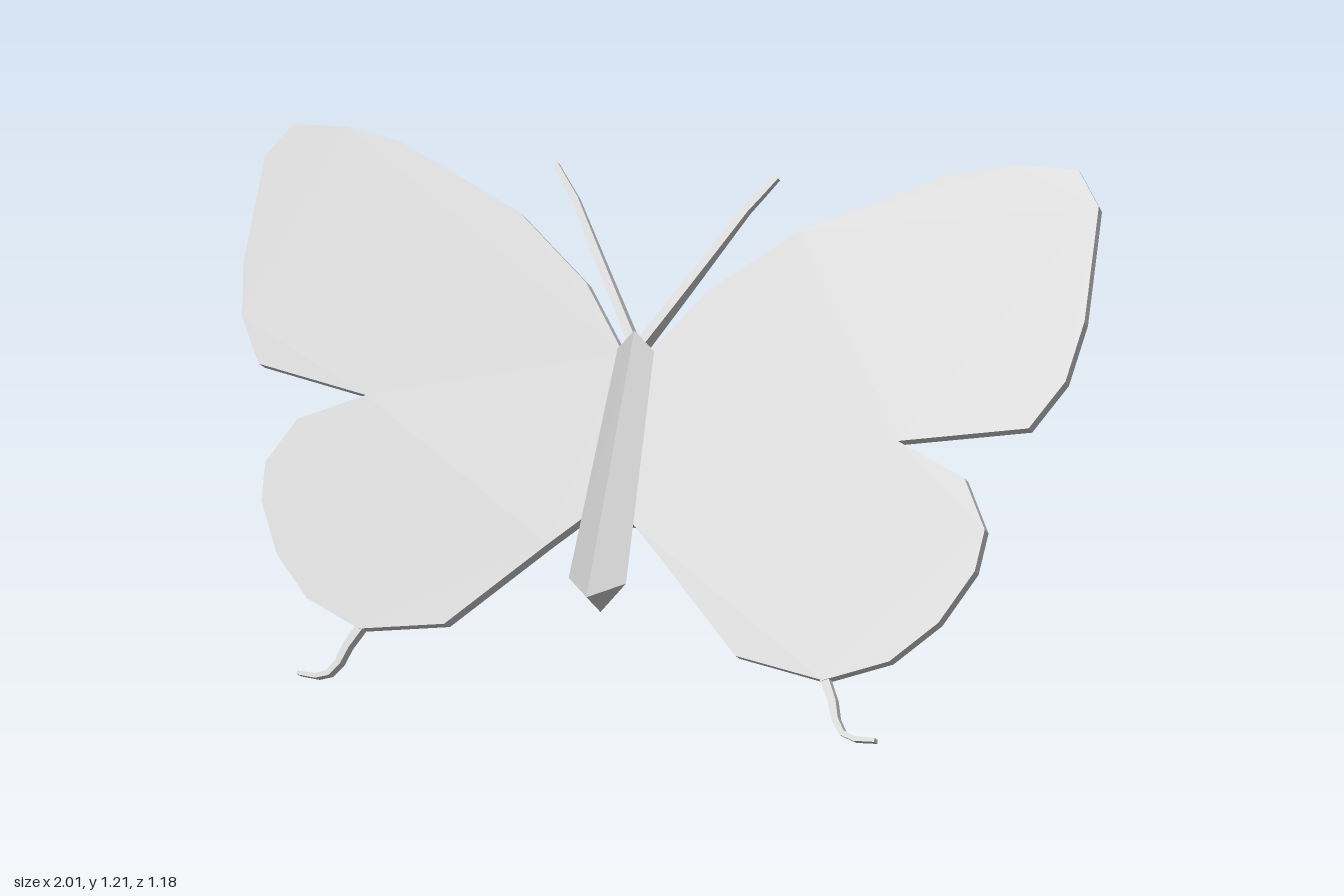
import * as THREE from 'three';

const material = new THREE.MeshStandardMaterial({ color: 0xcccccc, flatShading: true });

// Outline of one wing in the butterfly's own plane (x outward, y toward the head)
const wingOutline = [
  [0, -0.01], [0.03, -0.01], [0.15, 0.152], [0.348, 0.312], [0.685, 0.468], [0.83, 0.498],
  [0.978, 0.497], [1.036, 0.413], [1.04, 0.146], [1.016, 0.005], [0.948, -0.108],
  [0.655, -0.162], [0.82, -0.234], [0.882, -0.345], [0.873, -0.44], [0.808, -0.563],
  [0.71, -0.66], [0.565, -0.718], [0.355, -0.685], [0.135, -0.475], [0.064, -0.41], [0, -0.41],
];
const antennaPath = [[0, 0.0], [0.1, 0.165], [0.212, 0.352], [0.245, 0.395], [0.275, 0.435]];
const tailPath = [[0.56, -0.70], [0.592, -0.76], [0.605, -0.80], [0.625, -0.828], [0.655, -0.838], [0.702, -0.836]];

// Flat slab from an outline; side = 1 or -1 mirrors it, front face at z = front
function slab(name, points, side, depth, front = 0) {
  const shape = new THREE.Shape(points.map(([x, y]) => new THREE.Vector2(side * x, y)));
  const geometry = new THREE.ExtrudeGeometry(shape, { depth, bevelEnabled: false });
  geometry.translate(0, 0, front - depth);
  const mesh = new THREE.Mesh(geometry, material);
  mesh.name = name;
  return mesh;
}

// Outline of a strip that follows a path, tapering from width w0 to w1
function strip(path, w0, w1) {
  const a = [], b = [];
  path.forEach(([x, y], i) => {
    const p = path[Math.max(i - 1, 0)], q = path[Math.min(i + 1, path.length - 1)];
    const dx = q[0] - p[0], dy = q[1] - p[1];
    const k = THREE.MathUtils.lerp(w0, w1, i / (path.length - 1)) / 2 / Math.hypot(dx, dy);
    a.push([x - dy * k, y + dx * k]);
    b.unshift([x + dy * k, y - dx * k]);
  });
  return a.concat(b);
}

// Four-sided body between a head ring and a tail ring, each end folded along its ridge
function buildBody() {
  const head = [[0, 0.038, 0.03], [0.045, 0, 0], [0, 0.03, -0.054], [-0.045, 0, 0]];
  const tail = [[0, -0.597, 0.05], [0.07, -0.548, 0], [0, -0.61, -0.054], [-0.07, -0.548, 0]];
  const index = [0, 1, 2, 0, 2, 3, 4, 6, 5, 4, 7, 6];
  for (let i = 0; i < 4; i++) {
    const j = (i + 1) % 4;
    index.push(i + 4, j + 4, j, i + 4, j, i);
  }
  let geometry = new THREE.BufferGeometry();
  geometry.setAttribute('position', new THREE.Float32BufferAttribute([...head, ...tail].flat(), 3));
  geometry.setIndex(index);
  geometry = geometry.toNonIndexed();
  geometry.computeVertexNormals();
  const mesh = new THREE.Mesh(geometry, material);
  mesh.name = 'body';
  return mesh;
}

export function createModel() {
  const butterfly = new THREE.Group();
  butterfly.name = 'butterfly';
  butterfly.add(buildBody());

  for (const [label, side] of [['left', 1], ['right', -1]]) {
    butterfly.add(slab(label + 'Wing', wingOutline, side, 0.038));
    butterfly.add(slab(label + 'WingTail', strip(tailPath, 0.02, 0.009), side, 0.028, -0.003));

    // Antenna: slab that gets thinner toward the tip
    const antenna = slab(label + 'Antenna', strip(antennaPath, 0.022, 0.012), side, 1);
    const pos = antenna.geometry.attributes.position;
    for (let i = 0; i < pos.count; i++) {
      const t = THREE.MathUtils.clamp(pos.getY(i) / 0.435, 0, 1);
      pos.setZ(i, 0.008 + pos.getZ(i) * THREE.MathUtils.lerp(0.045, 0.016, t));
    }
    antenna.geometry.computeVertexNormals();
    butterfly.add(antenna);
  }

  // Tilt the whole insect: up = toward the head, normal = front of the wings
  const normal = new THREE.Vector3(-0.298, 0.467, 0.834).normalize();
  const across = new THREE.Vector3().crossVectors(new THREE.Vector3(0.153, 0.884, -0.442), normal).normalize();
  const up = new THREE.Vector3().crossVectors(normal, across);
  butterfly.quaternion.setFromRotationMatrix(new THREE.Matrix4().makeBasis(across, up, normal));
  butterfly.position.set(-0.045, 0.755, -0.025);

  const model = new THREE.Group();
  model.add(butterfly);
  return model;
}
